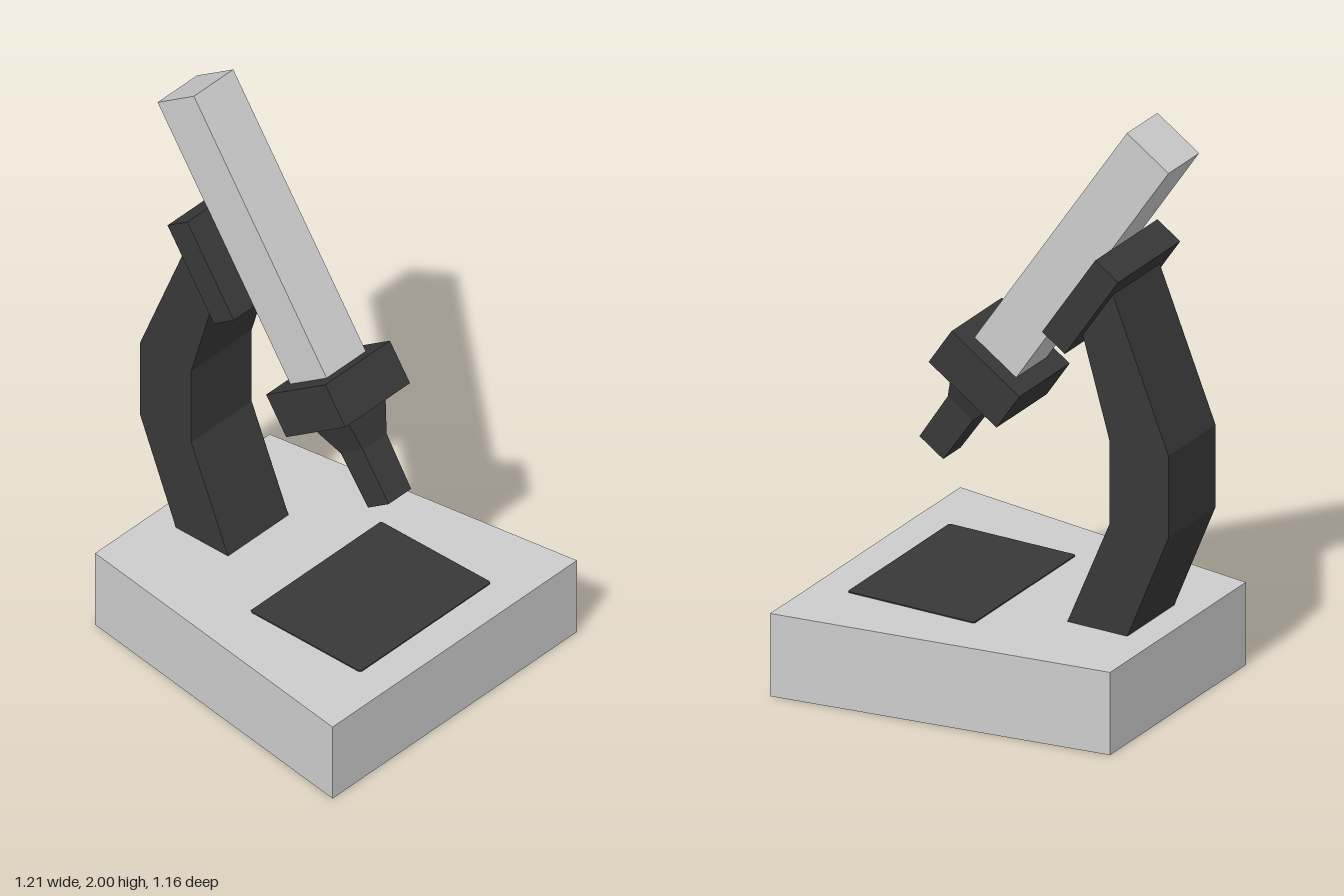
import * as THREE from 'three';

export function createModel() {
  const model = new THREE.Group();
  model.name = 'microscope';

  const lightGrey = new THREE.MeshStandardMaterial({ color: 0xcccccc, flatShading: true });
  lightGrey.name = 'light grey';
  const charcoal = new THREE.MeshStandardMaterial({ color: 0x383838, flatShading: true });
  charcoal.name = 'charcoal';

  function add(parent, name, geometry, material, x = 0, y = 0, z = 0) {
    const mesh = new THREE.Mesh(geometry, material);
    mesh.name = name;
    mesh.position.set(x, y, z);
    parent.add(mesh);
    return mesh;
  }

  function prism(points, depth) {
    const shape = new THREE.Shape(points.map(([x, y]) => new THREE.Vector2(x, y)));
    return new THREE.ExtrudeGeometry(shape, { depth, bevelEnabled: false });
  }

  // Square frustum with flat sides facing the axes
  function frustum(topHalf, bottomHalf, height) {
    return new THREE.CylinderGeometry(topHalf * Math.SQRT2, bottomHalf * Math.SQRT2, height, 4)
      .rotateY(Math.PI / 4);
  }

  // Wedge-shaped base, wider under the stage
  const base = prism([[-0.553, -0.413], [0.605, -0.578], [0.605, 0.578], [-0.553, 0.413]], 0.286);
  add(model, 'base', base.rotateX(-Math.PI / 2), lightGrey);

  // Thin stage plate with slightly clipped corners
  const c = 0.006, x0 = 0.013, x1 = 0.482, w = 0.31;
  const stage = prism([
    [x0 + c, -w], [x1 - c, -w], [x1, -w + c], [x1, w - c],
    [x1 - c, w], [x0 + c, w], [x0, w - c], [x0, -w + c],
  ], 0.005);
  add(model, 'stagePlate', stage.rotateX(-Math.PI / 2), charcoal, 0, 0.285, 0);

  // Bent arm, running into the bracket at the top
  const arm = prism([
    [-0.45, 0.28], [-0.228, 0.28], [-0.387, 0.66], [-0.387, 0.945],
    [-0.27, 1.35], [-0.37, 1.5], [-0.39, 1.475], [-0.605, 0.945], [-0.605, 0.66],
  ], 0.286);
  add(model, 'arm', arm, charcoal, 0, 0, -0.143);

  // Tilted optics, centred on the collar
  const optics = new THREE.Group();
  optics.name = 'optics';
  optics.position.set(0.109, 1.049, 0);
  optics.rotation.z = 0.594;
  model.add(optics);

  add(optics, 'collar', new THREE.BoxGeometry(0.303, 0.152, 0.306), charcoal);
  add(optics, 'tube', new THREE.BoxGeometry(0.186, 1.008, 0.186), lightGrey, 0, 0.58, 0);
  add(optics, 'bracket', new THREE.BoxGeometry(0.102, 0.352, 0.378), charcoal, -0.143, 0.529, 0);
  add(optics, 'nosepiece', frustum(0.092, 0.056, 0.12), charcoal, 0, -0.136, 0);
  add(optics, 'objective', frustum(0.056, 0.053, 0.195), charcoal, 0, -0.2935, 0);

  return model;
}
